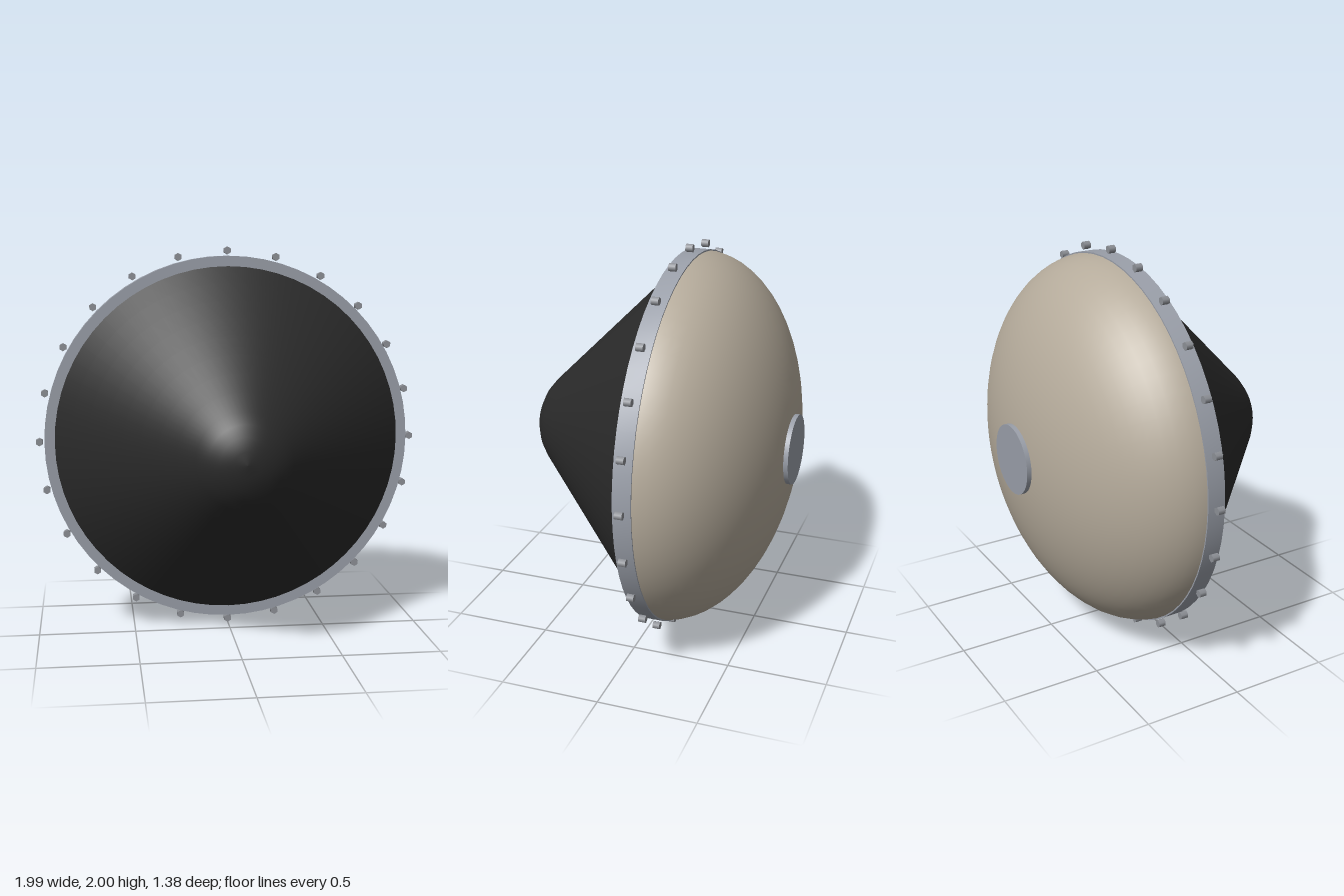
import * as THREE from 'three';
import { toCreasedNormals } from 'three/addons/utils/BufferGeometryUtils.js';

const SEGMENTS = 64;
const RIM_Z = -0.12;

const material = (name, color) => new THREE.MeshStandardMaterial({ name, color });

// Revolves [radius, z] points about the z axis
function revolve(points) {
  const profile = points.map(([r, z]) => new THREE.Vector2(r, z));
  return new THREE.LatheGeometry(profile, SEGMENTS).rotateX(Math.PI / 2);
}

export function createModel() {
  const black = material('matte black', 0x2a2a2a);
  const beige = material('warm beige', 0xb5ab9b);
  const steel = material('steel grey', 0x9a9fa9);
  const boltGrey = material('bolt grey', 0x8e9197);

  const model = new THREE.Group();
  model.name = 'capsule';
  const add = (name, geometry, mat, parent = model) => {
    const mesh = new THREE.Mesh(geometry, mat);
    mesh.name = name;
    parent.add(mesh);
    return mesh;
  };

  // Front cone: 45 degree flank running into a tangent spherical tip
  const tipRadius = 0.33;
  const tipCentre = 0.688 - tipRadius;
  const cone = [[0.945, RIM_Z], [0.9, -0.075]];
  const tangent = tipRadius * Math.SQRT1_2;
  for (let i = 1; i < 8; i++) {
    const t = i / 8;
    cone.push([
      THREE.MathUtils.lerp(0.9, tangent, t),
      THREE.MathUtils.lerp(-0.075, tipCentre + tangent, t),
    ]);
  }
  for (let i = 0; i <= 4; i++) {
    const a = Math.PI / 4 * (1 + i / 4);
    cone.push([Math.max(0, tipRadius * Math.cos(a)), tipCentre + tipRadius * Math.sin(a)]);
  }
  add('noseCone', revolve(cone), black);

  // Rear dome: half of a flattened sphere
  const dome = [];
  for (let i = 0; i <= 16; i++) {
    const a = (i / 16) * Math.PI / 2;
    dome.push([0.95 * Math.sin(a), RIM_Z - 0.555 * Math.cos(a)]);
  }
  add('rearDome', revolve(dome), beige);

  // Flat-faced rim band
  const band = [[0.9, -0.165], [0.953, -0.165], [0.953, -0.075], [0.9, -0.075], [0.9, -0.165]];
  add('rimBand', toCreasedNormals(revolve(band), 0.6), steel);

  // Round plate at the back
  const plate = new THREE.CylinderGeometry(0.177, 0.177, 0.03, 48).rotateX(Math.PI / 2);
  add('rearPlate', plate, steel).position.z = -0.673;

  // Hexagonal bolts around the rim
  const bolts = new THREE.Group();
  bolts.name = 'rimBolts';
  model.add(bolts);
  const boltGeometry = new THREE.CylinderGeometry(0.02, 0.02, 0.036, 6).rotateX(Math.PI / 2);
  for (let i = 0; i < 24; i++) {
    const a = (i / 24) * Math.PI * 2;
    add('bolt', boltGeometry, boltGrey, bolts)
      .position.set(0.98 * Math.cos(a), 0.98 * Math.sin(a), RIM_Z);
  }

  model.position.y = 1;
  return model;
}
